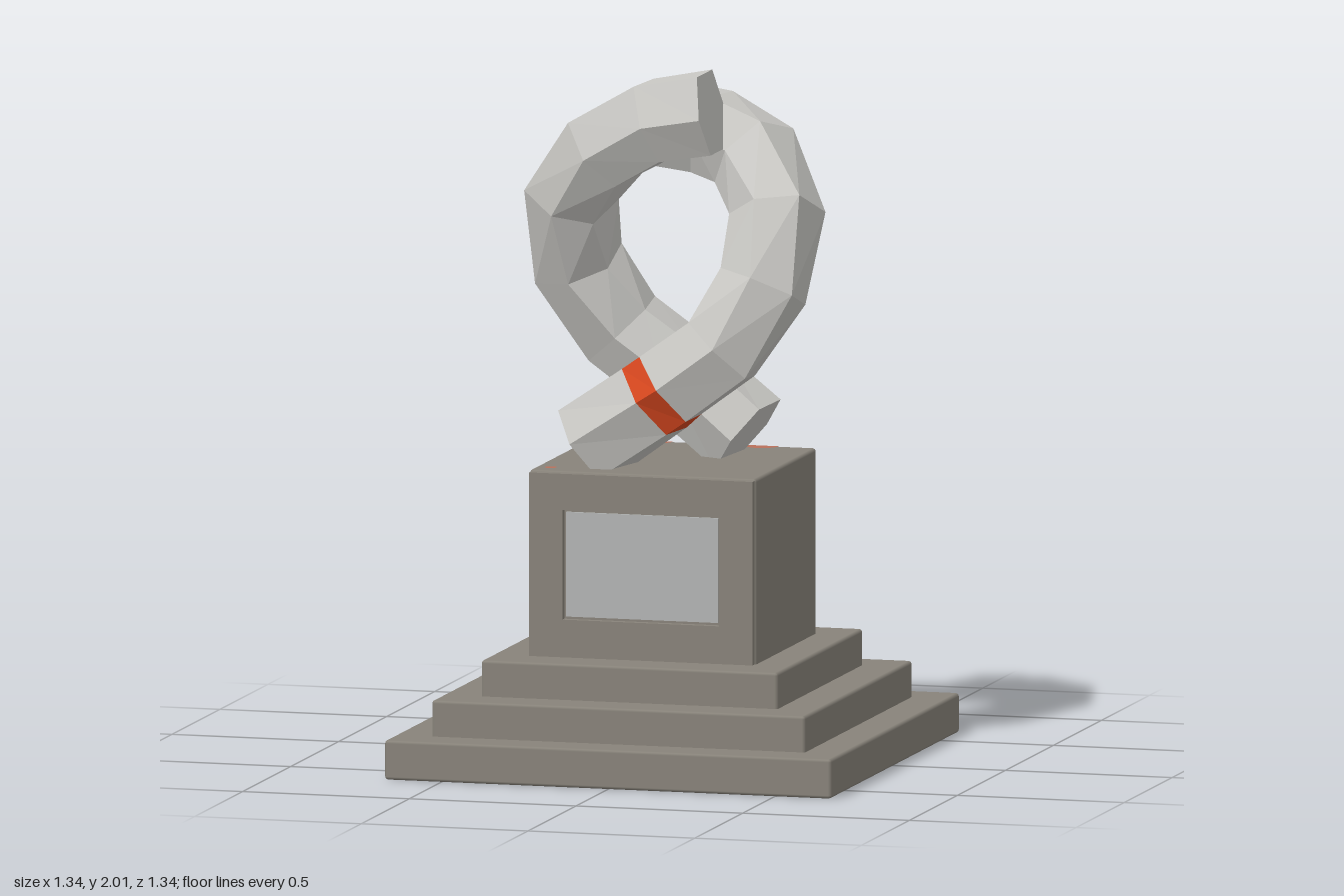
import * as THREE from 'three';
import { RoundedBoxGeometry } from 'three/addons/geometries/RoundedBoxGeometry.js';

const mat = (name, color, extra = {}) => {
  const m = new THREE.MeshStandardMaterial({ color, ...extra });
  m.name = name;
  return m;
};

// Six-sided cross-section as [outward, sideways] offsets
const SECTION = [[0.12, -0.08], [0.12, 0.08], [0.0, 0.135], [-0.11, 0.08], [-0.11, -0.08], [0.0, -0.135]];
const LOOP_CENTRE = new THREE.Vector3(0, 1.42, 0);

// One ring of corners at each path point, with the flat side turned away from the loop centre
function makeRings(points) {
  const path = points.map(p => new THREE.Vector3(...p));
  return path.map((p, i) => {
    const next = path[Math.min(i + 1, path.length - 1)];
    const prev = path[Math.max(i - 1, 0)];
    const t = next.clone().sub(p).normalize().add(p.clone().sub(prev).normalize()).normalize();
    const n = p.clone().sub(LOOP_CENTRE).setZ(0);
    n.addScaledVector(t, -n.dot(t)).normalize();
    const b = t.clone().cross(n);
    return SECTION.map(([u, v]) => p.clone().addScaledVector(n, u).addScaledVector(b, v));
  });
}

// Joins rings from index a to b into a flat-faceted surface, with optional end caps
function skin(rings, a, b, capStart, capEnd) {
  const pos = [];
  const tri = (...vs) => vs.forEach(v => pos.push(v.x, v.y, v.z));
  const sides = SECTION.length;
  for (let i = a; i < b; i++) {
    for (let k = 0; k < sides; k++) {
      const m = (k + 1) % sides;
      tri(rings[i][k], rings[i][m], rings[i + 1][m]);
      tri(rings[i][k], rings[i + 1][m], rings[i + 1][k]);
    }
  }
  for (let k = 1; k < sides - 1; k++) {
    if (capStart) tri(rings[a][0], rings[a][k + 1], rings[a][k]);
    if (capEnd) tri(rings[b][0], rings[b][k], rings[b][k + 1]);
  }
  const g = new THREE.BufferGeometry();
  g.setAttribute('position', new THREE.Float32BufferAttribute(pos, 3));
  g.computeVertexNormals();
  return g;
}

export function createModel() {
  const model = new THREE.Group();
  model.name = 'loopSculptureOnPedestal';
  const stone = mat('darkStone', 0x88837a);
  const pale = mat('paleStone', 0xc9c8c4);
  const plaqueGrey = mat('plaqueGrey', 0xb3b5b4);
  const red = mat('orangeRed', 0xd9481f);
  const faded = mat('fadedRed', 0xb9705a);

  const add = (name, geometry, material, x = 0, y = 0, z = 0, parent = model) => {
    const mesh = new THREE.Mesh(geometry, material);
    mesh.name = name;
    mesh.position.set(x, y, z);
    parent.add(mesh);
    return mesh;
  };
  const slab = (name, w, y0, y1, d, z = 0) =>
    add(name, new RoundedBoxGeometry(w, y1 - y0, d, 1, 0.009), stone, 0, (y0 + y1) / 2, z);

  // Stepped base
  slab('bottomStep', 1.34, 0, 0.115, 1.34);
  slab('middleStep', 1.12, 0.1, 0.22, 1.12);
  slab('topStep', 0.89, 0.205, 0.325, 0.89);

  // Pedestal block, with a recessed panel in its front
  slab('pedestalBlock', 0.68, 0.31, 0.865, 0.63, -0.01);
  const face = new THREE.Shape();
  face.moveTo(-0.335, 0.32).lineTo(0.335, 0.32).lineTo(0.335, 0.86).lineTo(-0.335, 0.86);
  const opening = new THREE.Path();
  opening.moveTo(-0.235, 0.435).lineTo(-0.235, 0.755).lineTo(0.235, 0.755).lineTo(0.235, 0.435);
  face.holes.push(opening);
  add('pedestalFrontFrame', new THREE.ExtrudeGeometry(face, { depth: 0.022, bevelEnabled: false }),
    stone, 0, 0, 0.303);
  add('plaque', new THREE.BoxGeometry(0.455, 0.305, 0.008), plaqueGrey, 0, 0.595, 0.308);

  // Small faded marks on the pedestal top
  [[-0.13, -0.313, 0.042], [0.18, -0.313, 0.05]].forEach(([x, z, r], i) => {
    const mark = add('fadedMark' + (i + 1), new THREE.CircleGeometry(r, 14, Math.PI, Math.PI), faded, x, 0.867, z);
    mark.rotation.x = -Math.PI / 2;
  });
  const smallMark = add('fadedMark3', new THREE.CircleGeometry(0.018, 8), faded, -0.29, 0.867, 0.255);
  smallMark.rotation.x = -Math.PI / 2;

  // Two interlocking arms; the coloured band lies between stations 1 and 2
  const arms = {
    frontArm: [[-0.21, 0.93, 0.14], [-0.01, 1.07, 0.16], [0.04, 1.11, 0.165], [0.19, 1.22, 0.155],
      [0.3, 1.4, 0.11], [0.32, 1.6, 0.03], [0.22, 1.745, -0.08], [0.08, 1.8, -0.13], [-0.06, 1.82, -0.13]],
    backArm: [[0.19, 0.93, -0.14], [0.01, 1.07, -0.155], [-0.04, 1.11, -0.16], [-0.19, 1.22, -0.15],
      [-0.305, 1.41, -0.1], [-0.3, 1.62, -0.01], [-0.18, 1.77, 0.06], [-0.02, 1.86, 0.09], [0.145, 1.89, 0.09]],
  };
  for (const [name, points] of Object.entries(arms)) {
    const arm = new THREE.Group();
    arm.name = name;
    model.add(arm);
    const rings = makeRings(points);
    add('armFoot', skin(rings, 0, 1, true, false), pale, 0, 0, 0, arm);
    add('armBand', skin(rings, 1, 2, false, false), red, 0, 0, 0, arm);
    add('armCurve', skin(rings, 2, rings.length - 1, false, true), pale, 0, 0, 0, arm);
  }
  return model;
}
